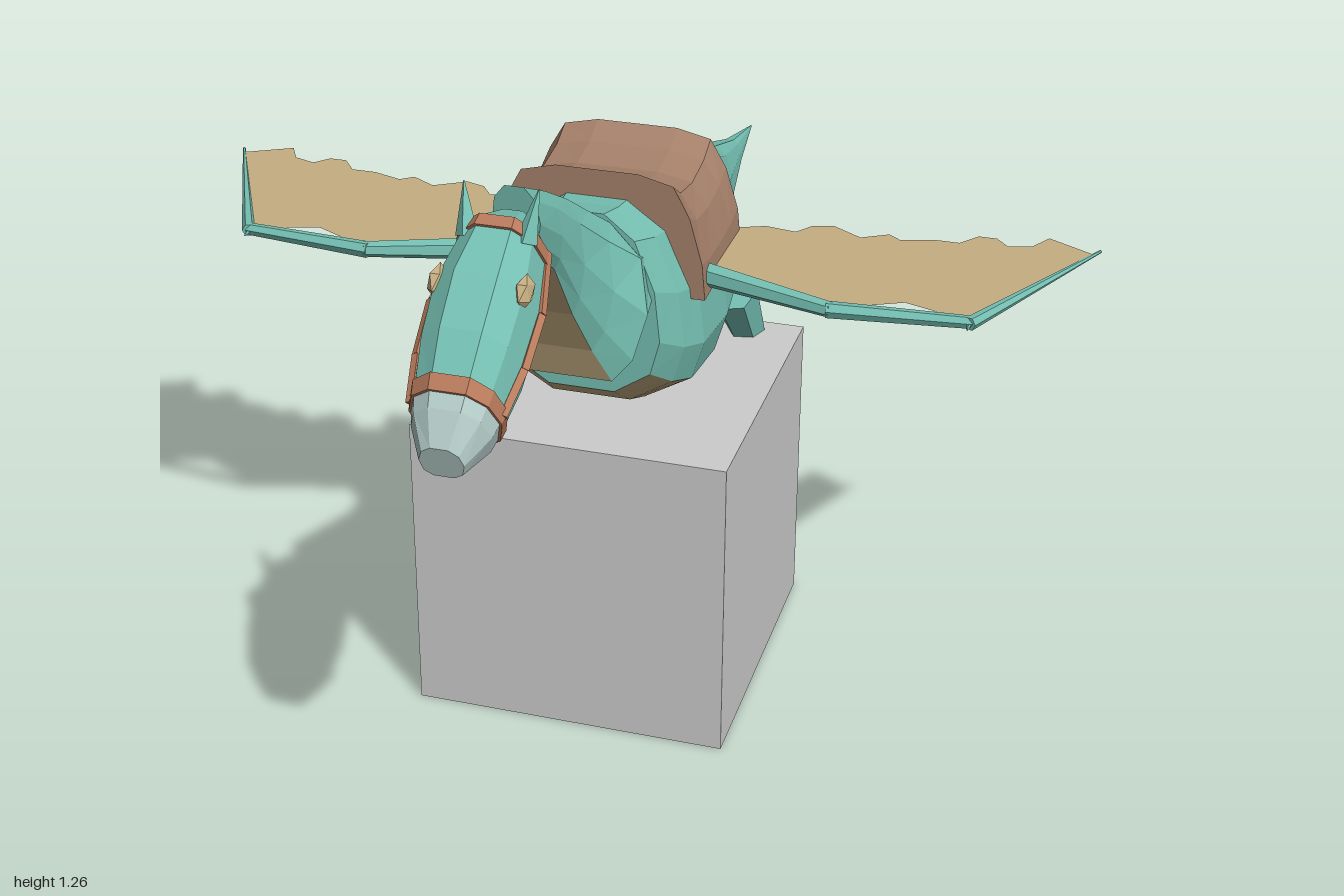
import * as THREE from 'three';

const mat = (name, color, side = THREE.FrontSide) => {
  const m = new THREE.MeshStandardMaterial({ color, flatShading: true, side });
  m.name = name;
  return m;
};

export function createModel() {
  const root = new THREE.Group();
  const teal = mat('teal skin', 0x75bfb2);
  const tan = mat('tan belly', 0xc6ae82);
  const web = mat('wing tan', 0xc6ae82, THREE.DoubleSide);
  const leather = mat('saddle leather', 0xa5806a);
  const strap = mat('bridle strap', 0xb87a5c);
  const muzzle = mat('pale muzzle', 0xb4ccc8);
  const stone = mat('grey block', 0xcccccc);

  const add = (name, geo, m, parent = root) => {
    const mesh = new THREE.Mesh(geo, m);
    mesh.name = name;
    parent.add(mesh);
    return mesh;
  };

  // Loft along +z. Section: [upper z, upper y, lower z, lower y, half width].
  // Profile: half outline from top to bottom as [x, t], mirrored to a ring.
  function loft(name, sections, profile, pick, inflate = 0) {
    const ring = [...profile, ...profile.slice().reverse().map(([x, t]) => [-x, t])];
    const rings = sections.map(([uz, uy, lz, ly, w]) => ring.map(([x, t]) => {
      const s = t + (t - 0.5) * inflate;
      return [x * w * (1 + inflate), ly + (uy - ly) * s, lz + (uz - lz) * s];
    }));
    const bins = new Map();
    const tri = (m, ...p) => {
      if (!bins.has(m)) bins.set(m, []);
      p.forEach((q) => bins.get(m).push(...q));
    };
    const n = ring.length, h = profile.length;
    for (let i = 0; i + 1 < rings.length; i++) {
      for (let j = 0; j < n; j++) {
        const k = (j + 1) % n, [A, B] = [rings[i], rings[i + 1]];
        const m = pick(i, j < h ? j : n - 2 - j);
        tri(m, A[j], B[j], B[k]);
        tri(m, A[j], B[k], A[k]);
      }
    }
    const last = rings.length - 1;
    for (let j = 1; j + 1 < n; j++) {
      tri(pick(0, 1), rings[0][0], rings[0][j], rings[0][j + 1]);
      tri(pick(last - 1, 1), rings[last][0], rings[last][j + 1], rings[last][j]);
    }
    const group = new THREE.Group();
    group.name = name;
    for (const [m, pos] of bins) {
      const g = new THREE.BufferGeometry();
      g.setAttribute('position', new THREE.Float32BufferAttribute(pos, 3));
      g.computeVertexNormals();
      add(`${name} ${m.name}`, g, m, group);
    }
    root.add(group);
  }

  // Tapered rod between two points
  function limb(name, a, b, r1, r2, m, sides = 6, parent = root) {
    const p = new THREE.Vector3(...a), q = new THREE.Vector3(...b);
    const d = q.clone().sub(p);
    const mesh = add(name, new THREE.CylinderGeometry(r2, r1, d.length(), sides), m, parent);
    mesh.position.copy(p).add(q).multiplyScalar(0.5);
    mesh.quaternion.setFromUnitVectors(new THREE.Vector3(0, 1, 0), d.normalize());
    return mesh;
  }

  // Block under the body
  add('block', new THREE.BoxGeometry(0.61, 0.61, 0.61), stone).position.set(0, 0.305, 0.075);

  // Body and tail
  const bodyProfile = [[0.3, 1], [0.68, 0.87], [0.93, 0.6], [1, 0.32], [0.88, 0.13], [0.42, 0]];
  const body = [
    [-1, 0.715, 0.713, 0.001], [-0.8, 0.757, 0.692, 0.028], [-0.6, 0.822, 0.677, 0.063],
    [-0.5, 0.868, 0.668, 0.085], [-0.4, 0.92, 0.652, 0.115], [-0.28, 0.977, 0.63, 0.158],
    [-0.15, 1.012, 0.61, 0.187], [0, 1.022, 0.598, 0.205], [0.15, 1.025, 0.612, 0.2],
    [0.22, 1.03, 0.64, 0.18], [0.28, 1.04, 0.685, 0.15],
  ].map(([z, t, b, w]) => [z, t, z, b, w]);
  loft('body', body, bodyProfile, (i, j) => (j >= 4 ? tan : teal));

  // Neck
  const neckProfile = [[0.4, 1], [0.85, 0.8], [1, 0.45], [0.85, 0.15], [0.6, 0]];
  const neck = [
    [0.2, 0.97, 0.28, 0.82, 0.13], [0.28, 1.025, 0.36, 0.75, 0.14],
    [0.34, 1.07, 0.385, 0.82, 0.09], [0.42, 1.125, 0.43, 0.91, 0.056],
    [0.52, 1.18, 0.505, 1.03, 0.045], [0.625, 1.23, 0.61, 1.11, 0.042],
  ];
  loft('neck', neck, neckProfile, (i, j) => (j >= 4 ? tan : teal));

  // Head with pale muzzle
  const headProfile = [[0.4, 1], [0.82, 0.82], [1, 0.5], [0.85, 0.15], [0.45, 0]];
  const head = [
    [0.63, 1.19, 0.61, 1.11, 0.04], [0.705, 1.21, 0.645, 1.085, 0.07],
    [0.81, 1.16, 0.73, 0.995, 0.092], [0.885, 1.095, 0.81, 0.94, 0.088],
    [0.95, 1.02, 0.89, 0.9, 0.075], [0.968, 0.995, 0.915, 0.888, 0.068],
    [0.997, 0.94, 0.98, 0.882, 0.038],
  ];
  loft('head', head, headProfile, (i) => (i >= 4 ? muzzle : teal));

  // Bridle bands
  loft('noseband', [[0.935, 1.037, 0.875, 0.907, 0.078], [0.953, 1.016, 0.893, 0.898, 0.074]],
    headProfile, () => strap, 0.06);
  loft('browband', [[0.705, 1.21, 0.645, 1.085, 0.07], [0.727, 1.2, 0.664, 1.066, 0.075]],
    headProfile, () => strap, 0.06);

  // Saddle, raised at both ends
  const saddleProfile = [[0.38, 1], [0.7, 0.93], [0.85, 0.68], [0.97, 0.3], [1, 0]];
  const saddle = [
    [-0.08, 1.07, 0.855], [-0.03, 1.045, 0.852], [0.05, 1.032, 0.85],
    [0.13, 1.045, 0.847], [0.18, 1.08, 0.845],
  ].map(([z, t, b]) => [z, t, z, b, 0.207]);
  loft('saddle', saddle, saddleProfile, () => leather);

  // Wing membrane outline as [x, z]
  const membrane = [
    [0.17, 0.12], [0.44, 0.205], [0.5, 0.18], [0.57, 0.145], [0.63, 0.165], [0.69, 0.19],
    [0.87, -0.16], [0.78, -0.21], [0.755, -0.165], [0.71, -0.15], [0.685, -0.18],
    [0.65, -0.18], [0.62, -0.14], [0.57, -0.14], [0.51, -0.12], [0.485, -0.14],
    [0.435, -0.11], [0.375, -0.148], [0.335, -0.135], [0.31, -0.1], [0.25, -0.11], [0.17, -0.075],
  ];

  for (const s of [1, -1]) {
    const side = s > 0 ? 'left' : 'right';
    const rod = (name, a, b, r1, r2, m, n) =>
      limb(`${side} ${name}`, [a[0] * s, a[1], a[2]], [b[0] * s, b[1], b[2]], r1, r2, m, n);

    // Wing
    const shape = new THREE.Shape(membrane.map(([x, z]) => new THREE.Vector2(x * s, -z)));
    const geo = new THREE.ShapeGeometry(shape).rotateX(-Math.PI / 2);
    add(`${side} wing membrane`, geo, web).position.y = 0.876;
    rod('upper wing arm', [0.15, 0.877, 0.12], [0.45, 0.877, 0.215], 0.024, 0.015, teal);
    rod('lower wing arm', [0.44, 0.877, 0.215], [0.7, 0.875, 0.187], 0.016, 0.012, teal);
    rod('wing finger', [0.695, 0.875, 0.195], [0.88, 0.873, -0.185], 0.013, 0.003, teal);
    rod('wing claw', [0.695, 0.875, 0.18], [0.695, 0.872, 0.215], 0.007, 0.001, teal, 4);

    // Hind leg with hanging toes
    rod('thigh', [0.185, 0.72, -0.125], [0.2, 0.59, -0.2], 0.048, 0.034, teal);
    rod('shin', [0.2, 0.62, -0.195], [0.2, 0.53, -0.25], 0.03, 0.018, teal);
    rod('foot', [0.2, 0.545, -0.25], [0.2, 0.485, -0.252], 0.021, 0.019, teal);
    for (const dx of [-0.015, 0.015])
      rod('toe', [0.2 + dx, 0.5, -0.25], [0.2 + dx, 0.448, -0.238], 0.014, 0.005, teal, 5);

    // Ear, eye and cheek strap
    rod('ear', [0.05, 1.175, 0.715], [0.064, 1.257, 0.683], 0.02, 0.001, teal, 4);
    const eye = add(`${side} eye`, new THREE.IcosahedronGeometry(0.032, 0), tan);
    eye.scale.set(0.5, 0.8, 1);
    eye.rotation.x = 0.6;
    eye.position.set(0.073 * s, 1.125, 0.79);
    const path = [[0.07, 1.14, 0.67], [0.093, 1.078, 0.77], [0.09, 1.018, 0.848], [0.077, 0.967, 0.915]];
    for (let i = 0; i < 3; i++) rod('cheek strap', path[i], path[i + 1], 0.009, 0.009, strap, 4);
  }
  return root;
}
